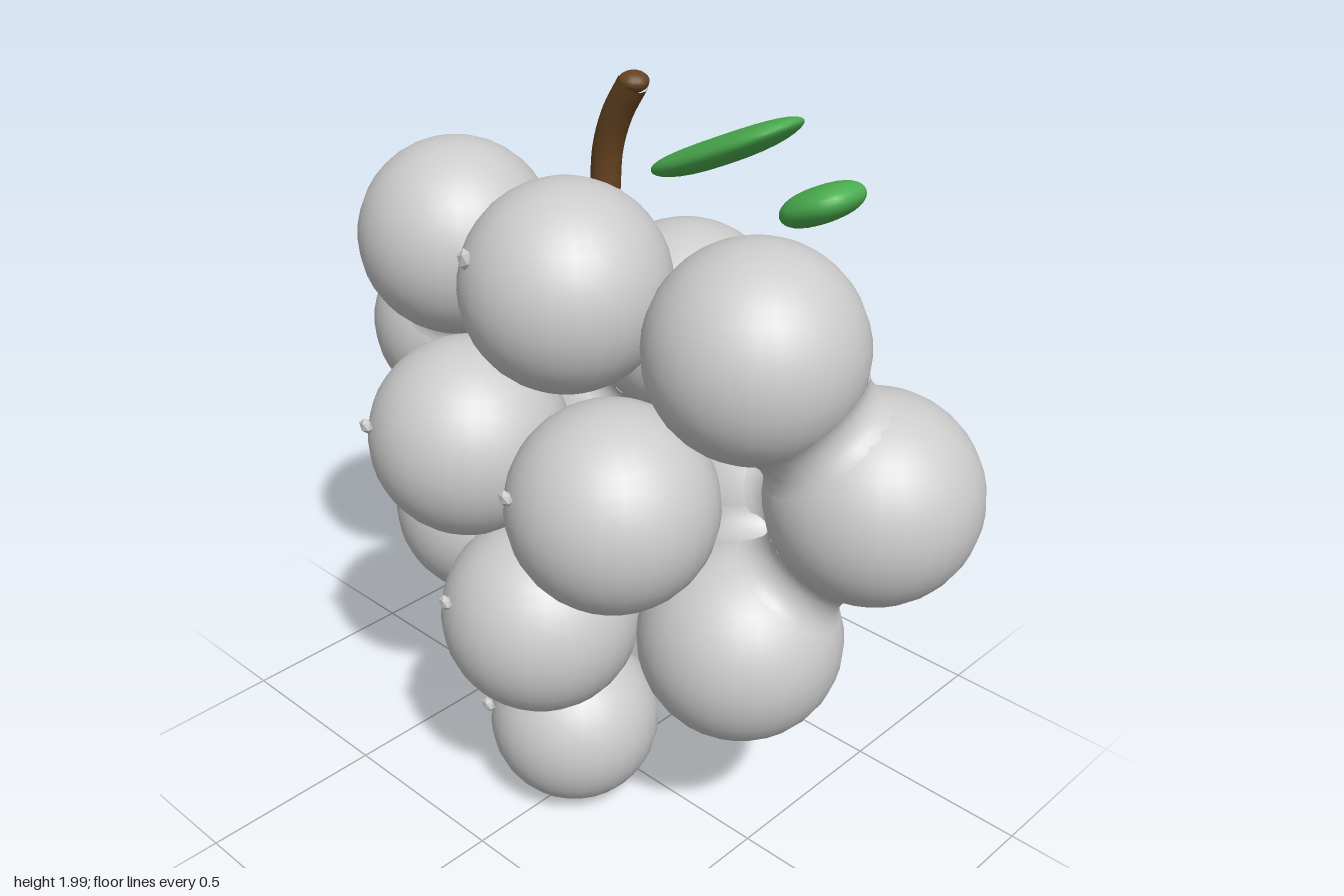
import * as THREE from 'three';

const berryMat = new THREE.MeshStandardMaterial({ name: 'berry grey', color: 0xcccccc });
const leafMat = new THREE.MeshStandardMaterial({ name: 'leaf green', color: 0x4caf50 });
const stemMat = new THREE.MeshStandardMaterial({ name: 'stem brown', color: 0x654321 });

const R = 0.256;
// Berry centres; the front ones stay separate, the rear ones melt together
const frontBerries = [
  [0, 1.5, 0.16], [-0.25, 1.05, 0.265], [0.255, 1.05, 0.265], [0, 0.63, 0.265],
];
const rearBerries = [
  [-0.505, 1.462, 0.06], [0.5, 1.462, 0.065],
  [-0.718, 1.1, -0.13], [0.713, 1.1, -0.125],
  [-0.465, 0.662, 0.03], [0.465, 0.662, 0.03],
  [0, 1.285, -0.265], [-0.26, 0.91, -0.265], [0.26, 0.91, -0.265],
];

function add(group, name, geometry, material) {
  const mesh = new THREE.Mesh(geometry, material);
  mesh.name = name;
  group.add(mesh);
  return mesh;
}

// Concave fillet ring tangent to two neighbouring berries
function blendGeometry(d, fillet) {
  const reach = R + fillet;
  const h = Math.sqrt(reach * reach - d * d / 4);
  const T = Math.asin(d / 2 / reach);
  const points = [];
  for (let i = 0; i <= 8; i++) {
    const t = T * (i / 4 - 1);
    points.push(new THREE.Vector2(h - fillet * Math.cos(t), fillet * Math.sin(t)));
  }
  return new THREE.LatheGeometry(points, 24);
}

// Plump leaf along x: rounded-box-like outline, narrower at the -x end
function leafGeometry(length, width, thickness, taper, bend) {
  const geo = new THREE.SphereGeometry(1, 24, 16);
  const p = geo.attributes.position;
  const soft = (v) => Math.sign(v) * Math.pow(Math.abs(v), 0.8);
  for (let i = 0; i < p.count; i++) {
    const x = p.getX(i);
    const w = 1 - taper * (1 - x) / 2;
    p.setXYZ(i,
      soft(x) * length / 2,
      p.getY(i) * thickness / 2 + bend * (x * x - 0.4),
      soft(p.getZ(i)) * width / 2 * w);
  }
  geo.computeVertexNormals();
  return geo;
}

export function createModel() {
  const model = new THREE.Group();
  model.name = 'grapeBunch';

  // Berries
  const berries = new THREE.Group();
  berries.name = 'berries';
  model.add(berries);
  const ball = new THREE.SphereGeometry(R, 28, 20);
  for (const c of frontBerries) add(berries, 'frontBerry', ball, berryMat).position.set(...c);
  for (const c of rearBerries) add(berries, 'rearBerry', ball, berryMat).position.set(...c);
  add(berries, 'bottomBerry', new THREE.SphereGeometry(0.228, 28, 20), berryMat).position.set(0, 0.233, 0.15);

  // Smooth joints between touching rear berries
  const up = new THREE.Vector3(0, 1, 0);
  rearBerries.forEach((a, i) => rearBerries.slice(i + 1).forEach((b) => {
    const va = new THREE.Vector3(...a), vb = new THREE.Vector3(...b);
    const d = va.distanceTo(vb);
    if (d > 0.54) return;
    const joint = add(berries, 'berryJoint', blendGeometry(d, 0.07), berryMat);
    joint.position.copy(va).add(vb).multiplyScalar(0.5);
    joint.quaternion.setFromUnitVectors(up, vb.sub(va).normalize());
  }));

  // Little raised chips on the front of the berries
  const chip = new THREE.IcosahedronGeometry(0.02, 0);
  const chips = [
    [-0.1, 1.6, 0.38, 1.5], [-0.37, 1.117, 0.495, 1], [0.14, 1.12, 0.495, 1],
    [-0.1, 0.72, 0.495, 1], [-0.09, 0.345, 0.38, 1],
  ];
  for (const [x, y, z, s] of chips) {
    const m = add(model, 'highlightChip', chip, berryMat);
    m.position.set(x, y, z);
    m.scale.set(1.1, s, 0.7);
    m.rotation.z = -0.3;
  }

  // Curved stem with rounded ends
  const stem = new THREE.Group();
  stem.name = 'stem';
  model.add(stem);
  const path = new THREE.CatmullRomCurve3([
    new THREE.Vector3(-0.005, 1.7, 0.022), new THREE.Vector3(0.003, 1.8, 0.022),
    new THREE.Vector3(0.035, 1.89, 0.024), new THREE.Vector3(0.088, 1.975, 0.026),
  ]);
  add(stem, 'stemStalk', new THREE.TubeGeometry(path, 16, 0.036, 14), stemMat);
  const tip = add(stem, 'stemTip', new THREE.SphereGeometry(0.036, 14, 10), stemMat);
  tip.position.copy(path.getPoint(1));
  tip.scale.y = 0.68;

  // Leaves
  const large = add(model, 'largeLeaf', leafGeometry(0.435, 0.23, 0.065, 0.4, 0.008), leafMat);
  large.position.set(0.298, 1.853, -0.037);
  large.rotation.z = 0.46;
  const small = add(model, 'smallLeaf', leafGeometry(0.19, 0.175, 0.08, 0.1, 0), leafMat);
  small.position.set(0.578, 1.796, -0.037);
  small.rotation.z = 0.47;

  return model;
}
